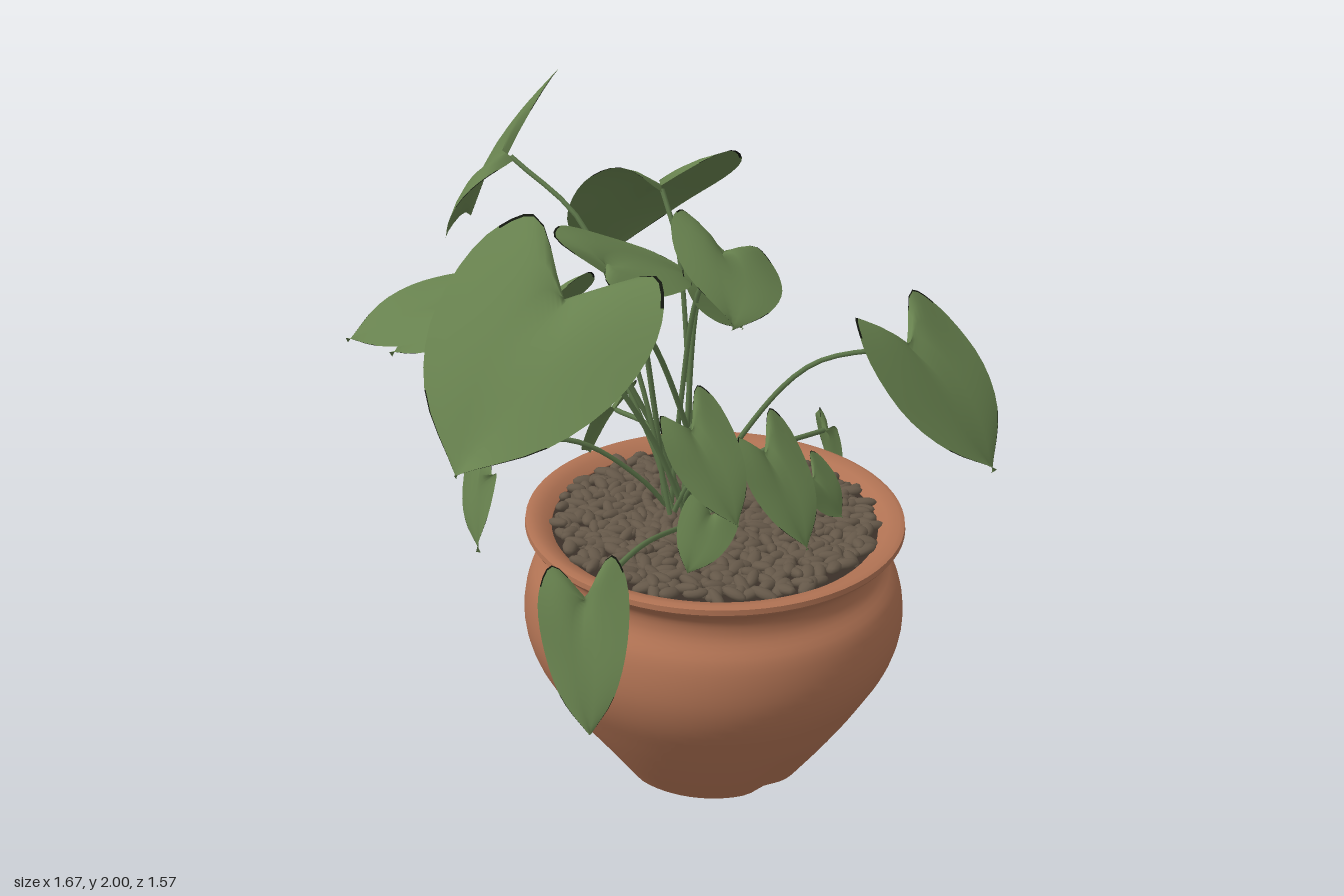
import * as THREE from 'three';
import { mergeGeometries, toCreasedNormals } from 'three/addons/utils/BufferGeometryUtils.js';

const V = (a) => new THREE.Vector3(...a);
const CX = 0.105, CZ = 0.22; // pot axis

function random(seed) {
  return () => {
    seed = (seed * 16807) % 2147483647;
    return seed / 2147483647;
  };
}

// Heart-shaped blade: n = stalk joint, t = tip, s = half span across the lobes.
// Group 0 is the green blade, group 1 the dry edge at the tip and lobes.
function leafGeometry(n, t, s) {
  const axis = t.clone().sub(n), length = axis.length();
  const lat = s.clone().addScaledVector(axis, -s.dot(axis) / axis.lengthSq());
  const normal = new THREE.Vector3().crossVectors(axis, lat).normalize();
  const flipped = normal.y < 0;
  if (flipped) normal.negate();
  const at = (k, w, side) => n.clone().addScaledVector(axis, k).addScaledVector(lat, w * side);
  const edge = (side) => new THREE.CatmullRomCurve3([
    n,
    n.clone().addScaledVector(axis, -0.3).addScaledVector(s, 0.75 * side),
    n.clone().addScaledVector(axis, -0.1).addScaledVector(s, 1.08 * side),
    at(0.3, 1.08, side),
    at(0.7, 0.7, side),
    t,
  ]);
  const across = [-1, -0.975, -0.75, -0.5, -0.25, 0, 0.25, 0.5, 0.75, 0.975, 1];
  const rows = 20, w = across.length, pos = [], blade = [], rim = [];
  const curves = [edge(-1), edge(1)];
  for (let i = 0; i <= rows; i++) {
    const v = i / rows;
    for (const c of across) {
      const u = Math.abs(c);
      const mid = n.clone().addScaledVector(axis, v * v * 0.4 + v * 0.6);
      const p = mid.lerp(curves[c < 0 ? 0 : 1].getPoint(v), u);
      // arched along the midrib, cupped across with a slight wave
      const lift = 0.09 * Math.sin(Math.PI * v) + 0.05 * Math.sin(Math.PI * u) * (1 - v)
        + 0.03 * u * Math.sin(v * 9 + Math.sign(c));
      p.addScaledVector(normal, lift * length);
      pos.push(p.x, p.y, p.z);
    }
  }
  for (let i = 0; i < rows; i++) {
    for (let j = 0; j < w - 1; j++) {
      const a = i * w + j, b = a + w;
      const dry = (j === 0 || j === w - 2) && ((i > 1 && i < 7) || i > 15);
      const quad = flipped ? [a, a + 1, b, a + 1, b + 1, b] : [a, b, a + 1, a + 1, b, b + 1];
      (dry ? rim : blade).push(...quad);
    }
  }
  const geo = new THREE.BufferGeometry();
  geo.setAttribute('position', new THREE.Float32BufferAttribute(pos, 3));
  geo.setIndex([...blade, ...rim]);
  geo.addGroup(0, blade.length, 0);
  geo.addGroup(blade.length, rim.length, 1);
  geo.computeVertexNormals();
  return geo;
}

function potGeometry() {
  const outer = new THREE.CatmullRomCurve3([
    [0.305, 0], [0.4, 0.14], [0.485, 0.28], [0.545, 0.4], [0.562, 0.5],
    [0.54, 0.61], [0.495, 0.67], [0.49, 0.715], [0.51, 0.745], [0.545, 0.77],
  ].map(([r, y]) => V([r, y, 0]))).getPoints(36);
  const profile = [[0, 0.015], [0.265, 0.015], [0.28, 0]].map((p) => new THREE.Vector2(...p));
  outer.forEach((p) => profile.push(new THREE.Vector2(p.x, p.y)));
  [[0.552, 0.78], [0.55, 0.795], [0.535, 0.8], [0.5, 0.79], [0.475, 0.77], [0.468, 0.72]]
    .forEach((p) => profile.push(new THREE.Vector2(...p)));
  const geo = new THREE.LatheGeometry(profile, 72);
  // four thumb dents round the foot
  const p = geo.attributes.position;
  for (let i = 0; i < p.count; i++) {
    const x = p.getX(i), y = p.getY(i), z = p.getZ(i);
    if (y > 0.2 || Math.hypot(x, z) < 0.29) continue;
    const a = Math.atan2(z, x) / (Math.PI / 2);
    const off = (a - Math.round(a)) / 0.1;
    const k = 1 - 0.06 * Math.exp(-off * off) * (1 - y / 0.2);
    p.setXYZ(i, x * k, y, z * k);
  }
  return toCreasedNormals(geo, 0.7);
}

function pebbleGeometry() {
  const rnd = random(77), list = [], count = 580;
  const m = new THREE.Matrix4(), q = new THREE.Quaternion(), e = new THREE.Euler();
  for (let i = 0; i < count; i++) {
    const r = 0.46 * Math.sqrt((i + 0.5) / count), a = i * 2.39996 + rnd() * 0.1;
    e.set((rnd() - 0.5) * 0.6, rnd() * Math.PI, (rnd() - 0.5) * 0.5);
    m.compose(
      V([CX + r * Math.cos(a), 0.772 + rnd() * 0.014, CZ + r * Math.sin(a)]),
      q.setFromEuler(e),
      V([0.03 + rnd() * 0.014, 0.015, 0.016 + rnd() * 0.006]),
    );
    list.push(new THREE.IcosahedronGeometry(1, 1).applyMatrix4(m));
  }
  return mergeGeometries(list);
}

export function createModel() {
  const terracotta = new THREE.MeshStandardMaterial({ color: 0xb07253 });
  const stone = new THREE.MeshStandardMaterial({ color: 0x655849 });
  const soilBrown = new THREE.MeshStandardMaterial({ color: 0x3a3028 });
  const leafGreen = new THREE.MeshStandardMaterial({ color: 0x67814e, side: THREE.DoubleSide });
  const dryEdge = new THREE.MeshStandardMaterial({ color: 0x12160e, side: THREE.DoubleSide });
  const stemGreen = new THREE.MeshStandardMaterial({ color: 0x5d764a });
  Object.entries({ terracotta, stone, soilBrown, leafGreen, dryEdge, stemGreen })
    .forEach(([name, mat]) => { mat.name = name; });

  const model = new THREE.Group();
  model.name = 'pottedPlant';
  const add = (name, geo, mat, parent = model) => {
    const mesh = new THREE.Mesh(geo, mat);
    mesh.name = name;
    parent.add(mesh);
    return mesh;
  };

  add('pot', potGeometry(), terracotta).position.set(CX, 0, CZ);
  add('soil', new THREE.CylinderGeometry(0.475, 0.475, 0.03, 48), soilBrown).position.set(CX, 0.752, CZ);
  add('pebbles', pebbleGeometry(), stone);

  // Each leaf with its stalk rising from the crown of the plant
  const rnd = random(5);
  const leaf = (name, joint, tip, span) => {
    const group = new THREE.Group();
    group.name = name;
    model.add(group);
    const n = V(joint);
    add('blade', leafGeometry(n, V(tip), V(span)), [leafGreen, dryEdge], group);
    const root = V([0.06 + (rnd() - 0.5) * 0.14, 0.76, 0.15 + (rnd() - 0.5) * 0.14]);
    const mid = (h, v, up) => V([
      root.x + (n.x - root.x) * h, root.y + (n.y - root.y) * v + up, root.z + (n.z - root.z) * h,
    ]);
    const path = new THREE.CatmullRomCurve3([root, mid(0.2, 0.42, 0.01), mid(0.55, 0.82, 0.03), n]);
    add('stalk', new THREE.TubeGeometry(path, 18, 0.008, 6), stemGreen, group);
  };

  // high leaves
  leaf('topBackLeaf', [-0.21, 1.76, -0.38], [-0.16, 1.47, -0.78], [0.17, 0.17, -0.03]);
  leaf('backLeaf', [0.11, 1.69, -0.08], [0.14, 1.4, -0.43], [0.22, 0.01, 0.03]);
  leaf('backRightLeaf', [-0.37, 1.43, -0.19], [-0.64, 1.26, -0.33], [0.11, 0, -0.2]);
  leaf('lowerBackLeaf', [-0.13, 1.29, -0.34], [-0.1, 1.0, -0.65], [0.15, 0.02, 0]);
  leaf('farRightLeaf', [-0.57, 1.49, -0.02], [-0.83, 1.4, -0.17], [0.06, 0.02, -0.13]);
  leaf('largeRightLeaf', [-0.42, 1.58, 0.3], [-0.81, 1.24, 0.43], [-0.1, 0.06, -0.24]);
  leaf('middleLeaf', [-0.2, 1.57, 0.12], [0.12, 1.47, 0.04], [0.03, -0.05, 0.14]);
  leaf('innerLeaf', [0.16, 1.47, 0.06], [0.23, 1.32, 0.16], [0.1, 0.02, -0.07]);
  leaf('frontHighLeaf', [0.11, 1.58, 0.22], [-0.05, 1.5, 0.51], [0.12, -0.07, 0.06]);
  leaf('largeLeftLeaf', [0.557, 1.31, 0.48], [0.68, 1.0, 0.75], [0.22, -0.02, -0.1]);
  // low leaves
  leaf('frontLowLeaf', [0.14, 1.05, 0.4], [0.17, 0.82, 0.58], [0.1, 0.02, -0.04]);
  leaf('frontRightLeaf', [-0.15, 1.22, 0.47], [-0.11, 1.0, 0.64], [0.09, 0.03, -0.02]);
  leaf('smallFrontLeftLeaf', [0.3, 0.94, 0.42], [0.37, 0.82, 0.48], [0.06, 0.02, -0.05]);
  leaf('smallFrontRightLeaf', [-0.1, 0.97, 0.5], [-0.2, 0.84, 0.54], [0.05, -0.03, 0.04]);
  leaf('leftDroopingLeaf', [0.63, 0.86, 0.05], [0.72, 0.68, -0.05], [-0.04, 0.01, 0.11]);
  leaf('rightDroopingLeaf', [-0.49, 0.83, 0.5], [-0.55, 0.5, 0.62], [0.08, 0.03, 0.07]);
  leaf('rightSideLeaf', [-0.48, 1.06, -0.04], [-0.59, 0.8, 0.08], [0.05, 0.05, -0.15]);
  leaf('backLowLeaf', [0.0, 1.0, -0.16], [-0.02, 0.81, -0.29], [0.09, 0.02, -0.04]);

  return model;
}
